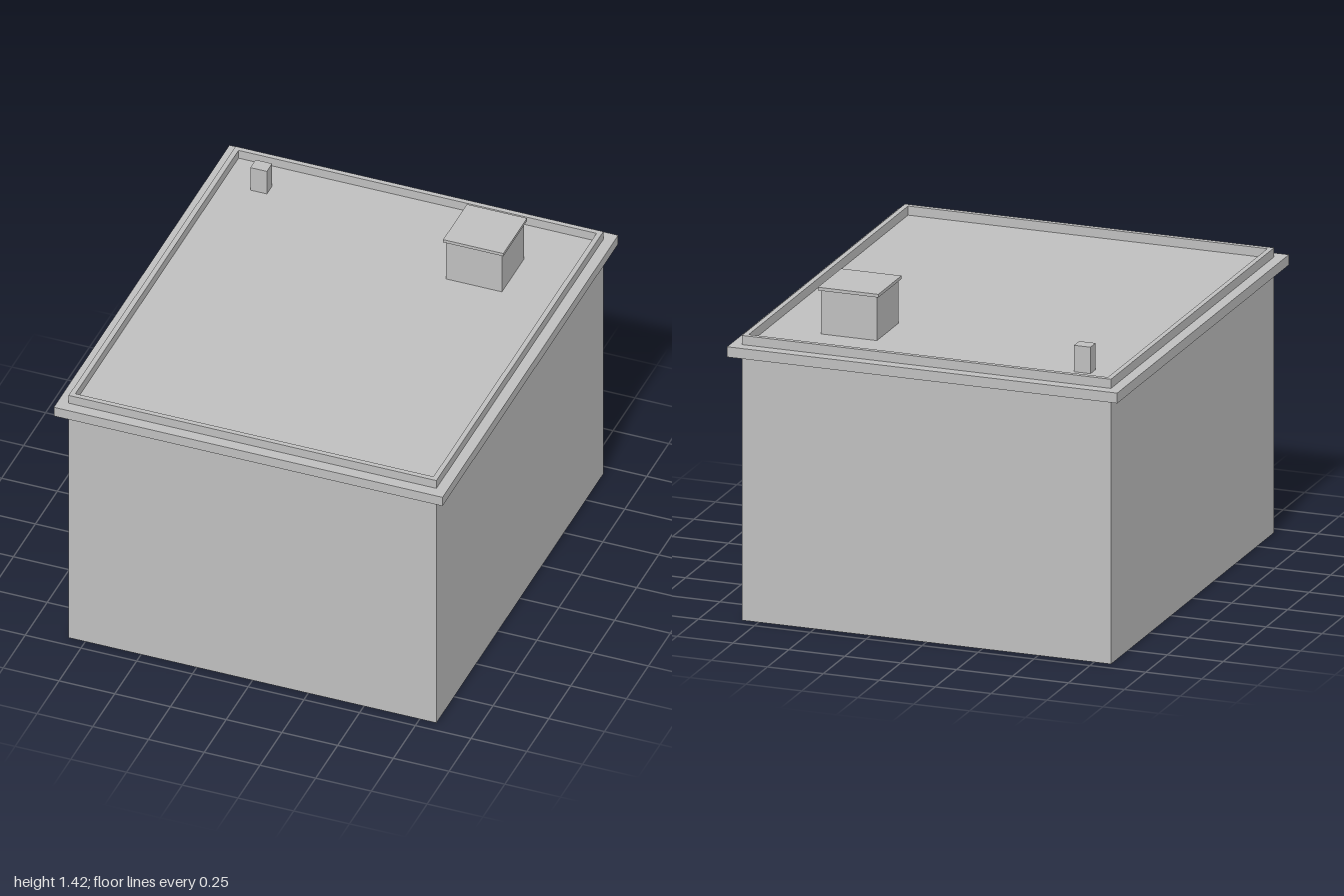
import * as THREE from 'three';

export function createModel() {
  const model = new THREE.Group();
  const grey = new THREE.MeshStandardMaterial({ color: 0xbfbfbf, side: THREE.DoubleSide });
  grey.name = 'plain grey';

  const add = (name, geometry, x = 0, y = 0, z = 0) => {
    const mesh = new THREE.Mesh(geometry, grey);
    mesh.name = name;
    mesh.position.set(x, y, z);
    model.add(mesh);
    return mesh;
  };

  // Box given by its footprint centre, base and top heights
  const block = (name, w, d, x, z, y0, y1) =>
    add(name, new THREE.BoxGeometry(w, y1 - y0, d), x, (y0 + y1) / 2, z);

  // Rectangular frame lying flat, from half widths and half depths
  const frame = (name, outerX, outerZ, innerX, innerZ, y0, y1) => {
    const corners = (x, z) => [[-x, -z], [x, -z], [x, z], [-x, z]].map(p => new THREE.Vector2(...p));
    const shape = new THREE.Shape(corners(outerX, outerZ));
    shape.holes.push(new THREE.Path(corners(innerX, innerZ).reverse()));
    const geometry = new THREE.ExtrudeGeometry(shape, { depth: y1 - y0, bevelEnabled: false });
    geometry.rotateX(-Math.PI / 2);
    add(name, geometry, 0, y0, 0);
  };

  const halfX = 0.825, halfZ = 0.95, innerX = 0.803, innerZ = 0.928;
  const wallTop = 1.165, roofY = 1.21;

  // Thin walls, open underneath
  for (const s of [-1, 1]) {
    const across = new THREE.PlaneGeometry(halfX * 2, wallTop);
    const along = new THREE.PlaneGeometry(halfZ * 2, wallTop);
    add(s > 0 ? 'frontWall' : 'backWall', across, 0, wallTop / 2, s * halfZ).rotation.y = s > 0 ? 0 : Math.PI;
    add(s > 0 ? 'leftWall' : 'rightWall', along, s * halfX, wallTop / 2, 0).rotation.y = s * Math.PI / 2;
  }

  // Overhanging cornice, parapet and the flat roof inside them
  frame('cornice', 0.872, 1, innerX, innerZ, wallTop, roofY);
  frame('parapet', halfX, halfZ, innerX, innerZ, roofY, 1.25);
  const roof = new THREE.PlaneGeometry(innerX * 2, innerZ * 2);
  roof.rotateX(-Math.PI / 2);
  add('roof', roof, 0, roofY, 0);

  // Roof access hut with cap, and a small vent
  block('roofHut', 0.25, 0.25, 0.443, -0.573, roofY, 1.403);
  block('roofHutCap', 0.27, 0.27, 0.443, -0.573, 1.403, 1.417);
  block('vent', 0.074, 0.06, -0.637, -0.765, roofY, 1.326);

  return model;
}
